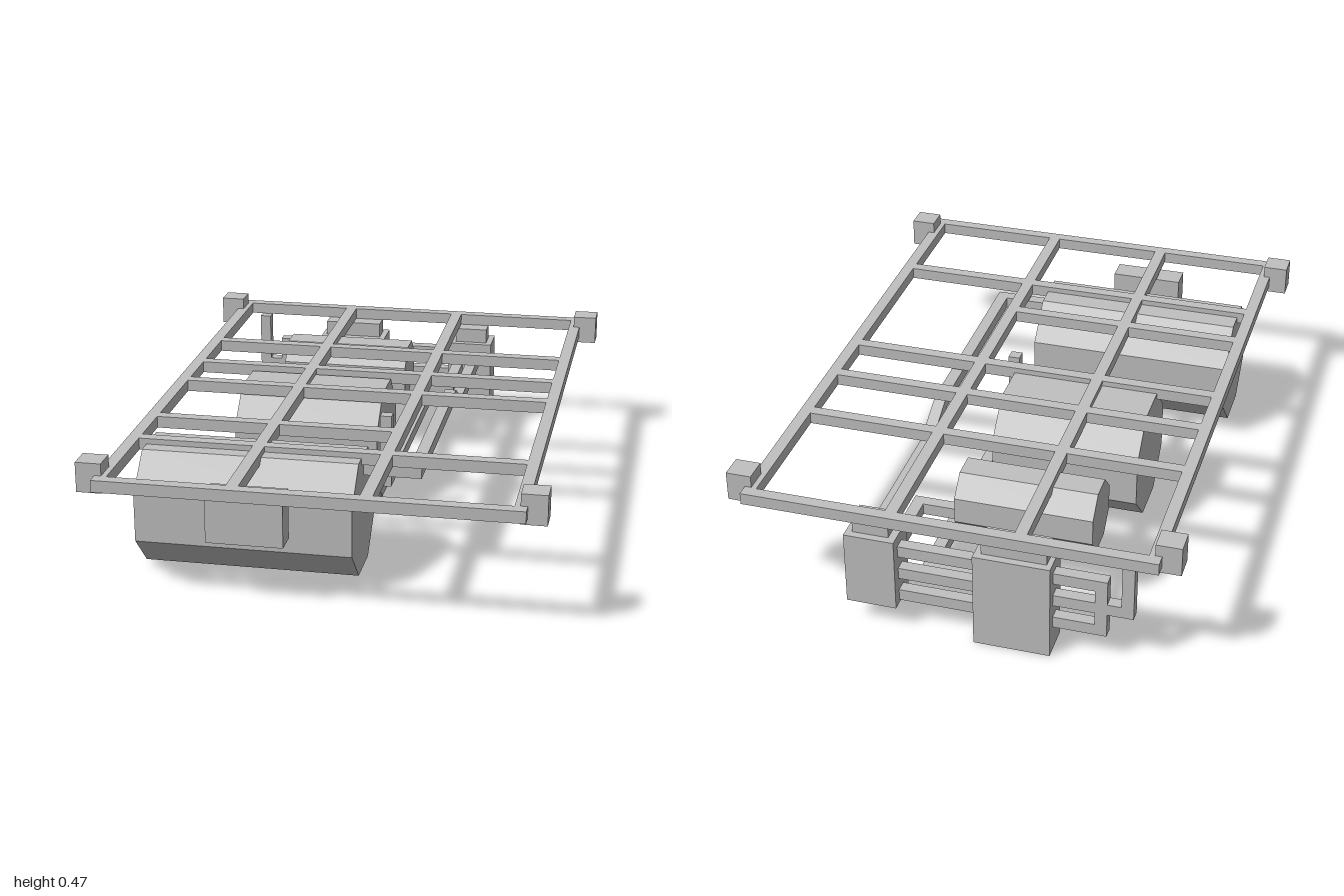
import * as THREE from 'three';
import { toCreasedNormals } from 'three/addons/utils/BufferGeometryUtils.js';

const grey = new THREE.MeshStandardMaterial({ color: 0xc0c0c0 });
grey.name = 'light grey';

export function createModel() {
  const model = new THREE.Group();
  model.name = 'frameWithTanks';

  const group = (name) => {
    const g = new THREE.Group();
    g.name = name;
    model.add(g);
    return g;
  };
  const add = (parent, name, geometry) => {
    const mesh = new THREE.Mesh(geometry, grey);
    mesh.name = name;
    parent.add(mesh);
    return mesh;
  };
  // Box given by its low and high limits on each axis
  const box = (parent, name, x0, x1, y0, y1, z0, z1) => {
    const mesh = add(parent, name, new THREE.BoxGeometry(x1 - x0, y1 - y0, z1 - z0));
    mesh.position.set((x0 + x1) / 2, (y0 + y1) / 2, (z0 + z1) / 2);
    return mesh;
  };

  // Flat ladder frame
  const frame = group('frame');
  const y0 = 0.39, y1 = 0.43;
  for (const s of [-1, 1]) {
    box(frame, 'sideRail', s * 0.66 - 0.02, s * 0.66 + 0.02, y0, y1, -0.965, 0.965);
    box(frame, 'endRail', -0.68, 0.68, y0, y1, s * 0.98 - 0.02, s * 0.98 + 0.02);
    for (const t of [-1, 1]) {
      box(frame, 'cornerBlock', s * 0.7 - 0.042, s * 0.7 + 0.042, 0.37, 0.47,
        t * 0.917 - 0.041, t * 0.917 + 0.041);
    }
  }
  for (const x of [-0.236, 0.187]) {
    box(frame, 'longBeam', x - 0.02, x + 0.02, y0, y1, -0.965, 0.965);
  }
  for (const [z, right] of [[-0.475, 0.645], [-0.217, 0.645], [-0.005, 0.645], [0.38, 0.2], [0.592, 0.645]]) {
    box(frame, 'crossBeam', -0.645, right, y0, y1, z - 0.02, z + 0.02);
  }

  // Eight-sided tanks lying across the frame
  const tank = (name, x0, x1, y, z, apothem) => {
    const r = apothem / Math.cos(Math.PI / 8);
    const g = new THREE.CylinderGeometry(r, r, x1 - x0, 8, 1, false, Math.PI / 8);
    g.rotateZ(Math.PI / 2);
    add(model, name, toCreasedNormals(g, 0.3)).position.set((x0 + x1) / 2, y, z);
  };
  tank('frontTank', -0.615, 0.105, 0.215, 0.58, 0.196);
  tank('middleTank', -0.45, 0.06, 0.215, -0.104, 0.196);
  tank('smallRearTank', -0.405, 0.058, 0.299, -0.617, 0.108);

  // Control boxes and their mounts
  box(model, 'frontBox', -0.34, -0.088, 0.21, 0.38, 0.832, 0.915);
  box(model, 'tallRearBox', -0.34, -0.088, 0, 0.337, -1, -0.875);
  box(model, 'tallBoxMount', -0.323, -0.11, 0.337, 0.39, -0.975, -0.9);
  box(model, 'shortRearBox', 0.17, 0.337, 0.08, 0.337, -1, -0.875);
  box(model, 'shortBoxMount', 0.195, 0.315, 0.337, 0.39, -0.975, -0.9);

  // Cranked pipe from the front tank to the short box
  const frontPipe = group('frontTankPipe');
  box(frontPipe, 'stub', 0.1, 0.256, 0.34, 0.38, 0.535, 0.575);
  const side = new THREE.Shape([
    [0.575, 0.34], [0.575, 0.38], [-0.2, 0.38], [-0.36, 0.3],
    [-0.88, 0.3], [-0.88, 0.26], [-0.35, 0.26], [-0.19, 0.34],
  ].map(([z, y]) => new THREE.Vector2(z, y)));
  const run = new THREE.ExtrudeGeometry(side, { depth: 0.04, bevelEnabled: false });
  run.rotateY(-Math.PI / 2).translate(0.296, 0, 0);
  add(frontPipe, 'crankedRun', run);

  // Pipe from the frame down and back to the tall box
  const drain = group('lowPipe');
  box(drain, 'drop', 0.082, 0.122, 0.13, 0.39, 0.108, 0.148);
  box(drain, 'run', 0.082, 0.122, 0.13, 0.17, -0.875, 0.108);
  box(drain, 'elbow', -0.127, 0.082, 0.13, 0.17, -0.875, -0.835);

  // Pipe from the small tank to the short box
  const smallPipe = group('smallTankPipe');
  box(smallPipe, 'stub', 0.05, 0.187, 0.217, 0.257, -0.663, -0.623);
  box(smallPipe, 'run', 0.187, 0.227, 0.217, 0.257, -0.88, -0.623);

  // Three pipes between the rear boxes, running on to upright ends
  const rear = group('rearPipes');
  const zr0 = -0.965, zr1 = -0.925;
  for (const [y, end] of [[0.11, -0.515], [0.195, -0.6], [0.28, -0.515]]) {
    box(rear, 'linkPipe', -0.09, 0.17, y - 0.02, y + 0.02, zr0, zr1);
    box(rear, 'outerPipe', end, -0.34, y - 0.02, y + 0.02, zr0, zr1);
  }
  box(rear, 'innerUpright', -0.515, -0.475, 0.09, 0.3, zr0, zr1);
  box(rear, 'outerUpright', -0.6, -0.56, 0.175, 0.39, zr0, zr1);

  return model;
}
